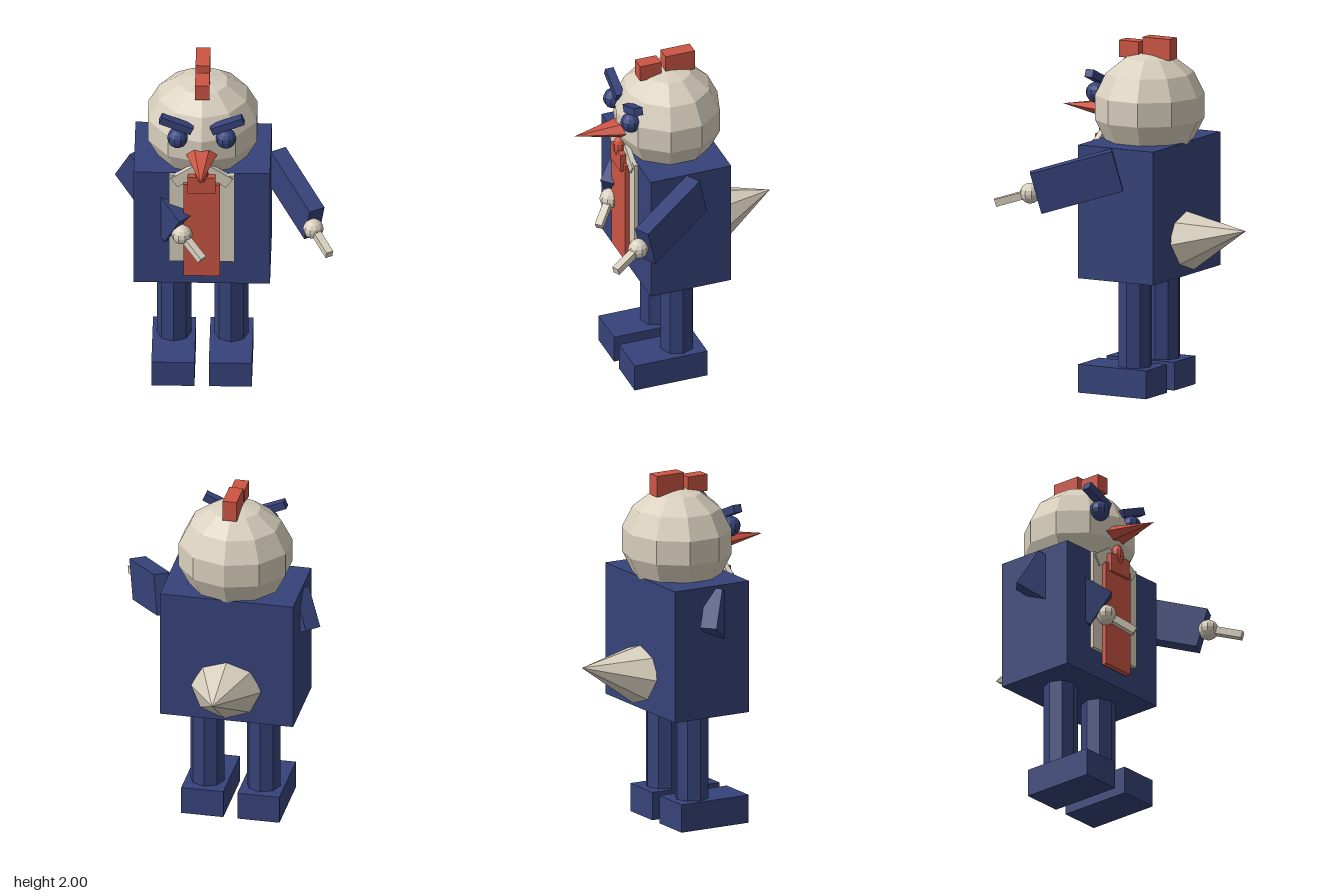
import * as THREE from 'three';

const MID = -0.12; // the body's own centre line

const material = (name, color) => {
  const m = new THREE.MeshStandardMaterial({ color, flatShading: true });
  m.name = name;
  return m;
};

export function createModel() {
  const navy = material('navy', 0x36437a);
  const cream = material('cream', 0xd9d0be);
  const red = material('red', 0xcc5544);
  const model = new THREE.Group();
  model.name = 'suitedBird';

  const add = (name, geometry, mat, x, y, z) => {
    const mesh = new THREE.Mesh(geometry, mat);
    mesh.name = name;
    mesh.position.set(x, y, z);
    model.add(mesh);
    return mesh;
  };
  const box = (name, mat, w, h, d, x, y, z) =>
    add(name, new THREE.BoxGeometry(w, h, d), mat, x, y, z);
  const ball = (name, mat, r, x, y, z) =>
    add(name, new THREE.SphereGeometry(r, 10, 8), mat, x, y, z);
  // box stretched between two points, upright as far as possible
  const bar = (name, mat, w, h, a, b) => {
    const from = new THREE.Vector3(...a), to = new THREE.Vector3(...b);
    const mid = from.clone().add(to).multiplyScalar(0.5);
    const mesh = box(name, mat, w, h, from.distanceTo(to), mid.x, mid.y, mid.z);
    mesh.lookAt(to);
  };

  // jacket, shirt and tie
  box('jacket', navy, 0.76, 0.755, 0.48, MID, 1.045, 0.015);
  box('shirtFront', cream, 0.365, 0.59, 0.03, MID, 1.125, 0.261);
  box('tie', red, 0.205, 0.625, 0.03, MID, 1.0625, 0.287);
  box('tieKnot', red, 0.155, 0.11, 0.05, MID, 1.38, 0.293);

  // head: ten-sided, with a ridge facing forward
  const headShape = new THREE.SphereGeometry(1, 10, 7);
  headShape.rotateY(Math.PI / 2);
  headShape.scale(0.328, 0.308, 0.31);
  add('head', headShape, cream, MID, 1.605, 0.0125);
  box('backComb', red, 0.08, 0.12, 0.175, MID, 1.94, -0.052);
  box('frontComb', red, 0.08, 0.095, 0.127, MID, 1.922, 0.124);

  // beak: flattened six-sided cone pointing forward
  const beakShape = new THREE.ConeGeometry(1, 0.3, 6);
  beakShape.rotateY(Math.PI / 2);
  beakShape.rotateX(Math.PI / 2);
  beakShape.scale(0.093, 0.054, 1);
  add('beak', beakShape, red, MID, 1.572, 0.416);
  ball('wattle', red, 1, MID, 1.447, 0.295).scale.set(0.037, 0.066, 0.037);

  // paired parts, right then left
  for (const side of [-1, 1]) {
    const label = side < 0 ? 'right' : 'left';
    const x = (offset) => MID + side * offset;
    const leg = new THREE.CylinderGeometry(0.096, 0.096, 0.53, 8);
    add(label + 'Leg', leg, navy, x(0.16), 0.415, 0.015);
    box(label + 'Foot', navy, 0.24, 0.16, 0.435, x(0.16), 0.08, 0.095);
    ball(label + 'Eye', navy, 0.058, x(0.135), 1.68, 0.28);
    box(label + 'Brow', navy, 0.19, 0.045, 0.05, x(0.143), 1.767, 0.27)
      .rotation.z = side * 0.4;
    box(label + 'Collar', cream, 0.15, 0.07, 0.03, x(0.092), 1.415, 0.27)
      .rotation.z = -side * 0.6;
  }

  // arms: shoulder, cuff, hand and fingertip positions
  const arms = {
    left: [[0.285, 1.307, -0.01], [0.51, 1.18, 0.385], [0.505, 1.172, 0.424], [0.598, 1.118, 0.595]],
    right: [[-0.535, 1.307, -0.01], [-0.252, 1.06, 0.286], [-0.23, 1.04, 0.31], [-0.115, 0.945, 0.42]],
  };
  for (const [label, [shoulder, cuff, hand, tip]] of Object.entries(arms)) {
    bar(label + 'Arm', navy, 0.094, 0.235, shoulder, cuff);
    ball(label + 'Hand', cream, 0.058, ...hand);
    bar(label + 'Finger', cream, 0.042, 0.042, hand, tip);
  }

  // tail: slightly flattened eight-sided cone rising backwards
  const tailShape = new THREE.ConeGeometry(1, 0.377, 8);
  tailShape.rotateX(Math.PI / 2);
  tailShape.scale(0.2, 0.17, 1);
  add('tail', tailShape, cream, MID, 0.91, -0.419).lookAt(MID, 0.95, -0.603);

  return model;
}
